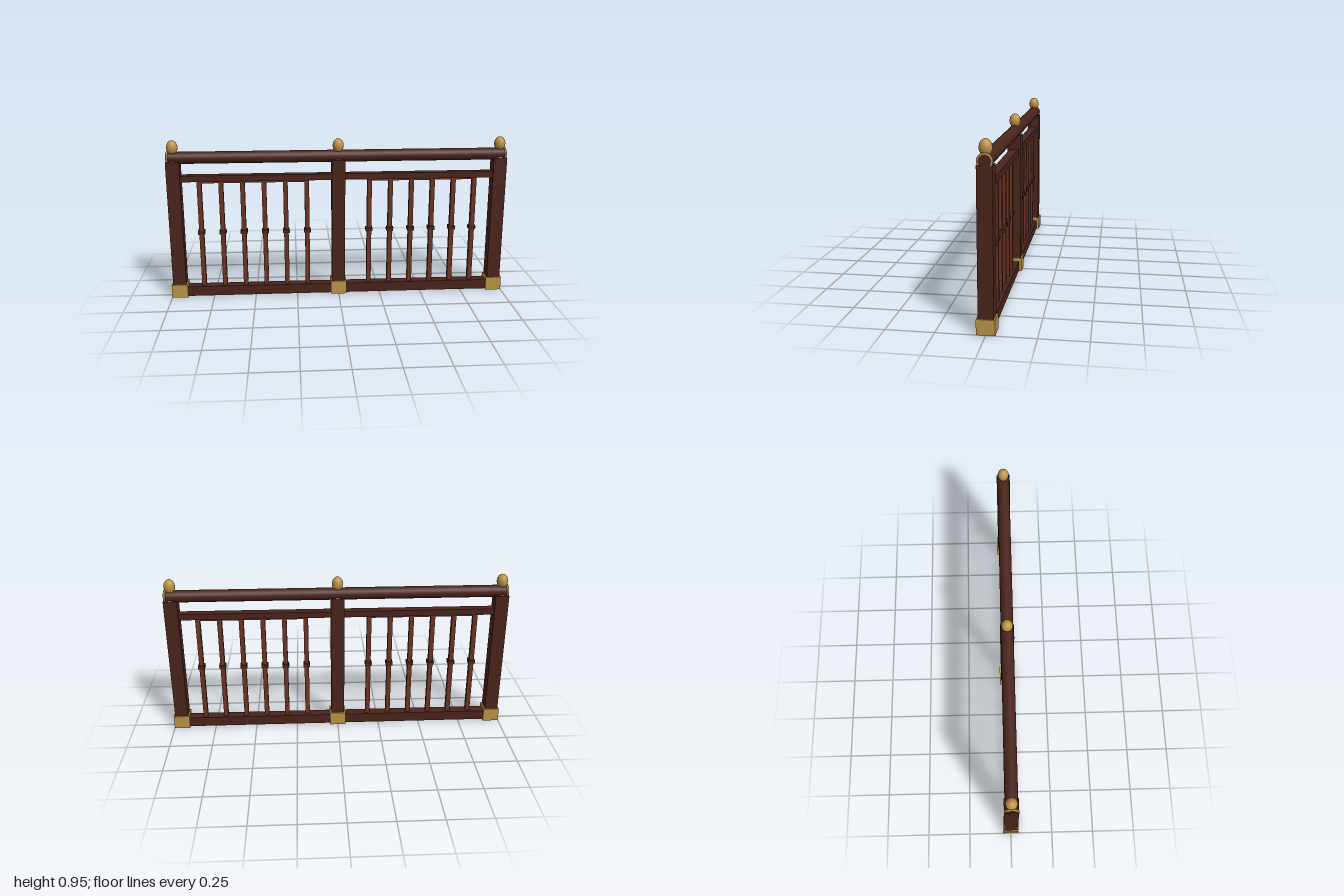
import * as THREE from 'three';

export function createModel() {
  const group = new THREE.Group();
  const mat = (color) => new THREE.MeshStandardMaterial({ color });
  const dark = mat(0x4a241b), wood = mat(0x6b3422), gold = mat(0xbd9347);

  const add = (name, geometry, material, x, y, z = 0) => {
    const mesh = new THREE.Mesh(geometry, material);
    mesh.name = name;
    mesh.position.set(x, y, z);
    group.add(mesh);
    return mesh;
  };
  const box = (name, material, w, h, d, x, y) =>
    add(name, new THREE.BoxGeometry(w, h, d), material, x, y);

  // Posts with metal feet and egg-shaped finials
  const finialProfile = [[0.033, -0.08], [0.03, -0.07], [0.018, -0.05]]
    .map(([r, y]) => new THREE.Vector2(r, y));
  for (let i = 0; i <= 16; i++) {
    const a = -Math.PI * 0.32 + (i / 16) * Math.PI * 0.82;
    finialProfile.push(new THREE.Vector2(Math.max(0, 0.032 * Math.cos(a)), 0.042 * Math.sin(a)));
  }
  for (const x of [-0.953, 0, 0.953]) {
    box('post', dark, 0.078, 0.765, 0.078, x, 0.4425);
    box('postFoot', gold, 0.094, 0.08, 0.094, x, 0.04);
    add('finial', new THREE.LatheGeometry(finialProfile, 24), gold, x, 0.905);
  }

  // Round handrail with a metal ring at each end
  add('handrail', new THREE.CylinderGeometry(0.035, 0.035, 1.976, 32), dark, 0, 0.845)
    .rotation.z = Math.PI / 2;
  for (const s of [-1, 1]) {
    add('handrailRing', new THREE.TorusGeometry(0.034, 0.006, 10, 32), gold, s * 0.983, 0.845)
      .rotation.y = Math.PI / 2;
  }

  // Two mirrored bays of rails and collared balusters
  for (const s of [-1, 1]) {
    box('bottomRail', dark, 0.88, 0.058, 0.06, s * 0.477, 0.031);
    box('upperRail', dark, 0.88, 0.036, 0.05, s * 0.477, 0.724);
    box('balusterHeadStrip', wood, 0.65, 0.012, 0.027, s * 0.497, 0.701);
    for (let i = 0; i < 6; i++) {
      const x = s * (0.185 + i * 0.125);
      box('baluster', wood, 0.027, 0.645, 0.027, x, 0.3775);
      box('balusterCollar', dark, 0.04, 0.022, 0.04, x, 0.396);
    }
  }
  return group;
}
